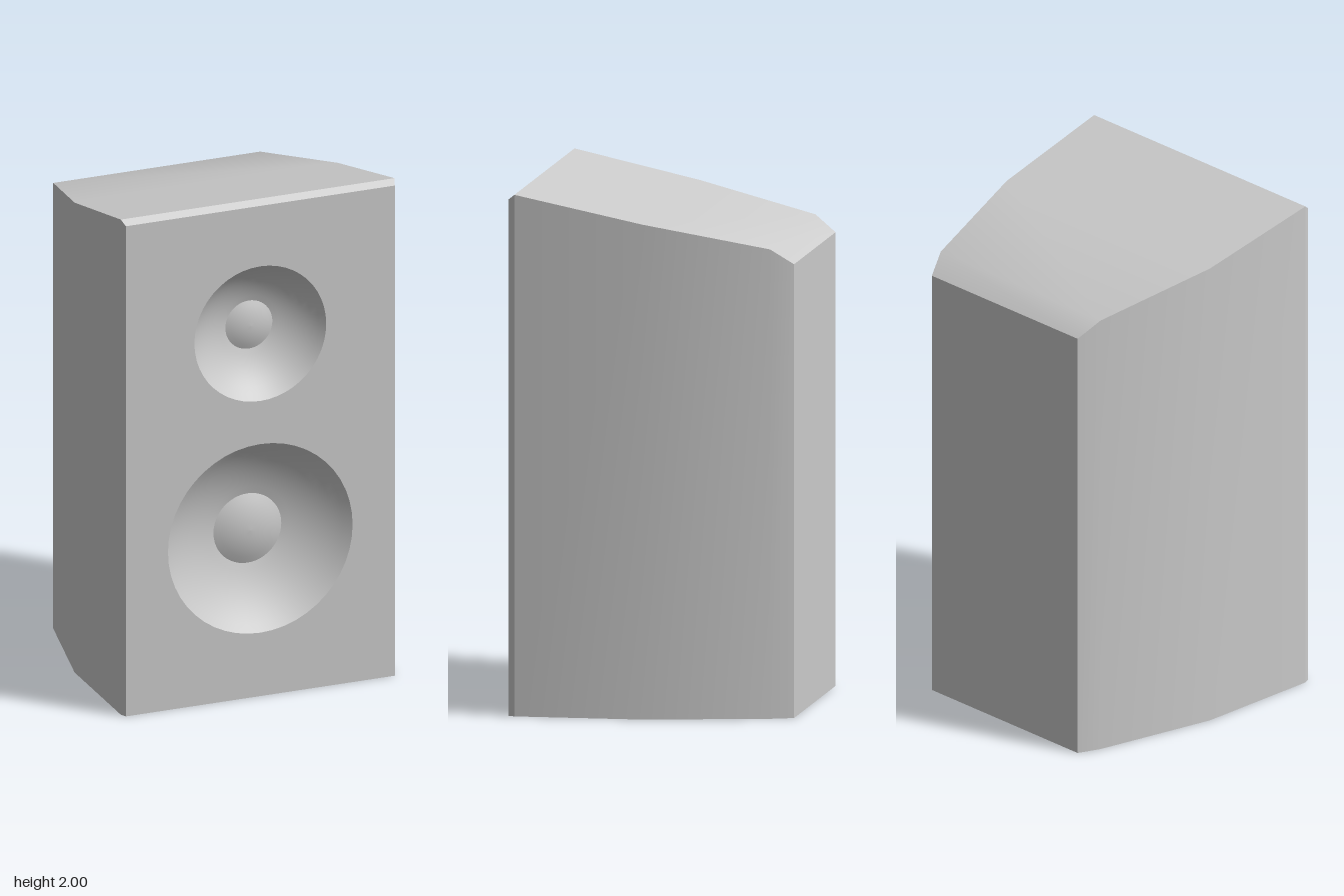
import * as THREE from 'three';
import { toCreasedNormals } from 'three/addons/utils/BufferGeometryUtils.js';

const SEG = 48;
const FRONT_Z = 0.535;

// Cross-sections from front to back: [z, half width, top height]
const BEVEL = [[FRONT_Z, 0.555, 1.98], [0.51, 0.565, 2.0]];
const SHELL = [[0.51, 0.565, 2.0], [0.02, 0.543, 1.898], [-0.45, 0.427, 1.8], [-0.535, 0.39, 1.74]];

// Drivers: centre height, rim radius, bowl depth, cap radius, cap rise
const DRIVERS = [
  { name: 'tweeter', y: 1.464, rim: 0.272, depth: 0.122, cap: 0.097, rise: 0.02 },
  { name: 'woofer', y: 0.637, rim: 0.381, depth: 0.14, cap: 0.14, rise: 0.03 },
];

// Joins rectangular cross-sections into a skin, optionally closed at the back
function loft(sections, closeBack) {
  const rings = sections.map(([z, w, t]) => [[-w, 0, z], [w, 0, z], [w, t, z], [-w, t, z]]);
  const pos = [];
  const quad = (a, b, c, d) => pos.push(...a, ...b, ...c, ...a, ...c, ...d);
  for (let i = 0; i < rings.length - 1; i++) {
    const [A, B] = [rings[i], rings[i + 1]];
    for (let k = 0; k < 4; k++) {
      const n = (k + 1) % 4;
      quad(A[k], B[k], B[n], A[n]);
    }
  }
  if (closeBack) {
    const [a, b, c, d] = rings[rings.length - 1];
    quad(d, c, b, a);
  }
  const geo = new THREE.BufferGeometry();
  geo.setAttribute('position', new THREE.Float32BufferAttribute(pos, 3));
  return toCreasedNormals(geo, Math.PI / 6);
}

// Front panel with a round opening per driver
function baffleGeometry() {
  const [, w, t] = BEVEL[0];
  const shape = new THREE.Shape();
  shape.moveTo(-w, 0).lineTo(w, 0).lineTo(w, t).lineTo(-w, t).closePath();
  for (const d of DRIVERS) {
    shape.holes.push(new THREE.Path().absarc(0, d.y, d.rim, 0, Math.PI * 2, true));
  }
  return new THREE.ShapeGeometry(shape, SEG / 2).translate(0, 0, FRONT_Z);
}

// Spherical bowl from the rim to the dust cap, and a shallow domed cap
function makeDriver({ name, y, rim, depth, cap, rise }, material) {
  const group = new THREE.Group();
  group.name = name;
  group.position.set(0, y, FRONT_Z);

  const R = (rim * rim + depth * depth) / (2 * depth);
  const bowlY = (r) => R - depth - Math.sqrt(R * R - r * r);
  const bowl = [], dome = [];
  for (let i = 0; i <= 8; i++) {
    const r = THREE.MathUtils.lerp(rim, cap, i / 8);
    bowl.push(new THREE.Vector2(r, bowlY(r)));
  }
  for (let i = 0; i <= 5; i++) {
    const u = 1 - i / 5;
    dome.push(new THREE.Vector2(cap * u, bowlY(cap) + rise * (1 - u * u)));
  }
  for (const [part, points] of [['cone', bowl], ['dustCap', dome]]) {
    const mesh = new THREE.Mesh(new THREE.LatheGeometry(points, SEG).rotateX(Math.PI / 2), material);
    mesh.name = part;
    group.add(mesh);
  }
  return group;
}

export function createModel() {
  const model = new THREE.Group();
  model.name = 'speaker';
  const material = new THREE.MeshStandardMaterial({ color: 0xcccccc });
  const add = (name, geo) => {
    const mesh = new THREE.Mesh(geo, material);
    mesh.name = name;
    model.add(mesh);
  };
  add('cabinet', loft(SHELL, true));
  add('frontBevel', loft(BEVEL, false));
  add('baffle', baffleGeometry());
  for (const d of DRIVERS) model.add(makeDriver(d, material));
  return model;
}
